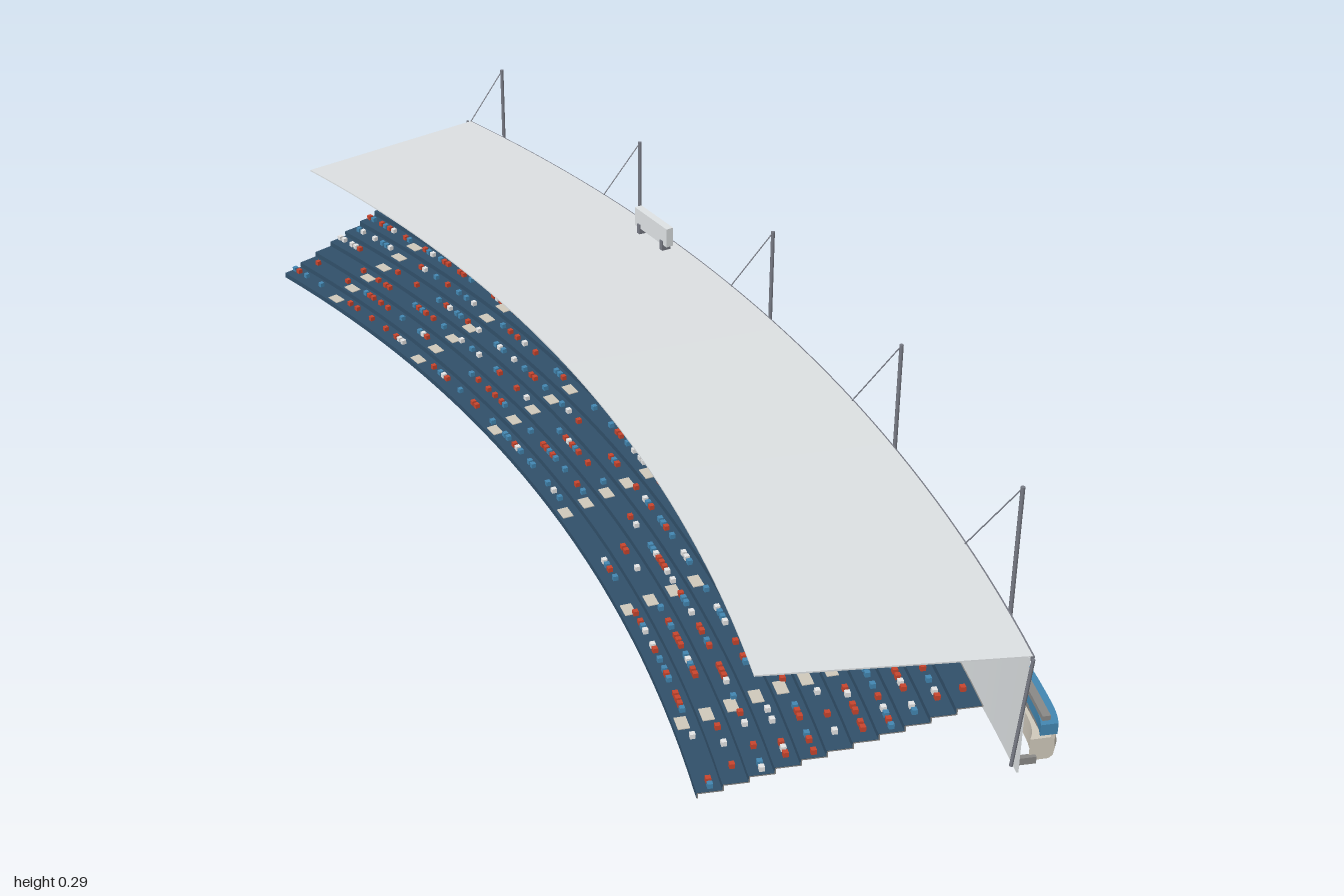
import * as THREE from 'three';
import { mergeGeometries, toCreasedNormals } from 'three/addons/utils/BufferGeometryUtils.js';

const CX = -3.215;      // centre of the arc on x
const END = 0.2845;     // half angle of the arc
const ROWS = 11, R0 = 3.0, TREAD = 0.0365, RISE = 0.0095, Y0 = 0.034;

const mat = (name, color) => {
  const m = new THREE.MeshStandardMaterial({ color });
  m.name = name;
  return m;
};

// Sweep a closed (radius, height) profile around the arc between two angles;
// tuck pulls both ends inward so that the piece bows outward
function sweep(profile, a0, a1, steps, tuck = 0) {
  const shape = new THREE.Shape(profile.map(([r, y]) => new THREE.Vector2(r, y)));
  const g = new THREE.ExtrudeGeometry(shape, { depth: 1, steps, bevelEnabled: false });
  const p = g.attributes.position;
  for (let i = 0; i < p.count; i++) {
    const t = p.getZ(i), a = a0 + (a1 - a0) * t;
    const r = p.getX(i) - tuck * Math.abs(2 * t - 1) ** 4;
    p.setXYZ(i, CX + r * Math.cos(a), p.getY(i), r * Math.sin(a));
  }
  return toCreasedNormals(g, 0.6);
}
const rect = (r0, r1, y0, y1) => [[r0, y0], [r1, y0], [r1, y1], [r0, y1]];

// Position on the arc
const polar = (r, y, a) => new THREE.Vector3(CX + r * Math.cos(a), y, r * Math.sin(a));

// Box standing on the arc and turned to face its centre
function arcBox(r, y, a, w, h, d) {
  const g = new THREE.BoxGeometry(w, h, d);
  g.rotateY(-a);
  const p = polar(r, y, a);
  return g.translate(p.x, p.y, p.z);
}

// Thin rod between two points
function rod(a, b, radius, sides = 6) {
  const dir = b.clone().sub(a);
  const g = new THREE.CylinderGeometry(radius, radius, dir.length(), sides);
  g.applyQuaternion(new THREE.Quaternion().setFromUnitVectors(new THREE.Vector3(0, 1, 0), dir.normalize()));
  const c = a.clone().add(b).multiplyScalar(0.5);
  return g.translate(c.x, c.y, c.z);
}

export function createModel() {
  let seed = 7;
  const rand = () => (seed = (seed * 16807) % 2147483647) / 2147483647;

  const model = new THREE.Group();
  model.name = 'curvedGrandstand';
  const concrete = mat('concrete', 0x8a8987);
  const navy = mat('seatNavy', 0x31506a);
  const pale = mat('paleCladding', 0xdfe3e5);
  const steel = mat('steel', 0x787b85);
  const beige = mat('beige', 0xd0c9bc);
  const blue = mat('blue', 0x4387b2);
  const red = mat('red', 0xc8452e);
  const white = mat('white', 0xe6e6e6);

  const add = (name, geos, material) => {
    const mesh = new THREE.Mesh(geos.length > 1 ? mergeGeometries(geos) : geos[0], material);
    mesh.name = name;
    model.add(mesh);
  };

  // Terraces, seat blocks and aisles
  const aisles = [-5, -3, -1, 1, 3, 5].map(k => k * 0.0469);
  const half = 0.0045;
  const edges = [-END, ...aisles.flatMap(a => [a - half, a + half]), END];
  const terraces = [], seats = [], aisleSteps = [];
  for (let i = 0; i < ROWS; i++) {
    const r = R0 + TREAD * i, top = Y0 + RISE * i;
    terraces.push(sweep(rect(r, r + TREAD + 0.002, top - 0.002, top), -END, END, 32));
    terraces.push(sweep(rect(r, r + 0.002, top - RISE, top), -END, END, 32));
    // Navy facing on treads and risers
    seats.push(sweep(rect(r, r + TREAD, top, top + 0.0006), -END, END, 32));
    seats.push(sweep(rect(r - 0.0006, r, top - RISE + 0.0007, top + 0.0006), -END, END, 32));
    for (let k = 1; k < edges.length - 1; k += 2) {
      aisleSteps.push(sweep(rect(r + 0.004, r + TREAD * 0.6, top, top + 0.002), edges[k], edges[k + 1], 1));
    }
  }
  add('terraces', terraces, concrete);
  add('seatBlocks', seats, navy);
  add('aisleSteps', aisleSteps, beige);

  // Scattered spectators
  const crowd = [[], [], []];
  for (let i = 0; i < ROWS; i++) {
    for (let a = -END + 0.002; a < END; a += 0.004) {
      const taken = rand() < 0.42, pick = rand();
      if (!taken || aisles.some(s => Math.abs(s - a) < half)) continue;
      const c = pick < 0.4 ? 0 : pick < 0.6 ? 1 : 2;
      crowd[c].push(arcBox(R0 + TREAD * (i + 0.55), Y0 + RISE * i + 0.0045, a, 0.008, 0.008, 0.008));
    }
  }
  add('redSpectators', crowd[0], red);
  add('whiteSpectators', crowd[1], white);
  add('blueSpectators', crowd[2], blue);

  // Rear wall, roof and rim beam
  add('rearWall', [sweep(rect(3.462, 3.465, 0, 0.203), -END, END, 40)], pale);
  add('roof', [sweep([[3.076, 0.2255], [3.468, 0.2035], [3.468, 0.206], [3.076, 0.228]], -END, END, 40)], pale);
  add('rimBeam', [sweep(rect(3.465, 3.471, 0.198, 0.205), -END, END, 40)], steel);

  // Bowed beige and blue bays behind the wall, with brackets at the joints
  const bags = [], bands = [], brackets = [], COUNT = 13, REACH = 0.2825, span = REACH * 2 / COUNT;
  for (let i = 0; i < COUNT; i++) {
    const a0 = -REACH + span * i, a1 = a0 + span;
    bags.push(sweep([[3.494, 0.012], [3.524, 0.012], [3.53, 0.017], [3.532, 0.03],
      [3.53, 0.045], [3.524, 0.05], [3.494, 0.05]], a0 + 0.0004, a1 - 0.0004, 12, 0.013));
    bands.push(sweep(rect(3.5, 3.526, 0.056, 0.075), a0, a1, 10, 0.006));
  }
  for (let i = 0; i <= COUNT; i++) {
    brackets.push(arcBox(3.478, 0.016, -REACH + span * i, 0.026, 0.012, 0.008));
  }
  add('beigeBays', bags, beige);
  add('blueBand', bands, blue);
  add('bayBrackets', brackets, concrete);
  add('bandCore', [sweep(rect(3.5, 3.513, 0.048, 0.058), -0.279, 0.279, 40)], concrete);
  add('topRail', [sweep(rect(3.499, 3.511, 0.075, 0.083), -0.28, 0.28, 40)], concrete);

  // Masts with stay cables
  const masts = [], cables = [];
  for (const z of [0.725, 0.295, -0.14, -0.57, -0.993]) {
    const a = Math.asin(z / 3.55);
    masts.push(rod(polar(3.55, 0.012, a), polar(3.55, 0.293, a), 0.0035, 8));
    cables.push(rod(polar(3.549, 0.29, a), polar(3.466, 0.207, a), 0.0011, 5));
  }
  add('masts', masts, steel);
  add('stayCables', cables, steel);

  // Leaning posts crossing the wall
  const posts = [];
  for (let k = 0; k < 8; k++) {
    const a = Math.asin((0.98 - 0.28 * k) / 3.468);
    posts.push(rod(polar(3.4665, 0.205, a), polar(3.45, 0.02, a), 0.003));
  }
  add('leaningPosts', posts, steel);

  // Display box on the roof
  const da = -0.1015;
  add('displayBox', [arcBox(3.438, 0.237, da, 0.014, 0.036, 0.105)], pale);
  add('displayLegs', [-0.011, 0.011].map(o => arcBox(3.438, 0.215, da + o, 0.018, 0.024, 0.008)), steel);

  return model;
}
